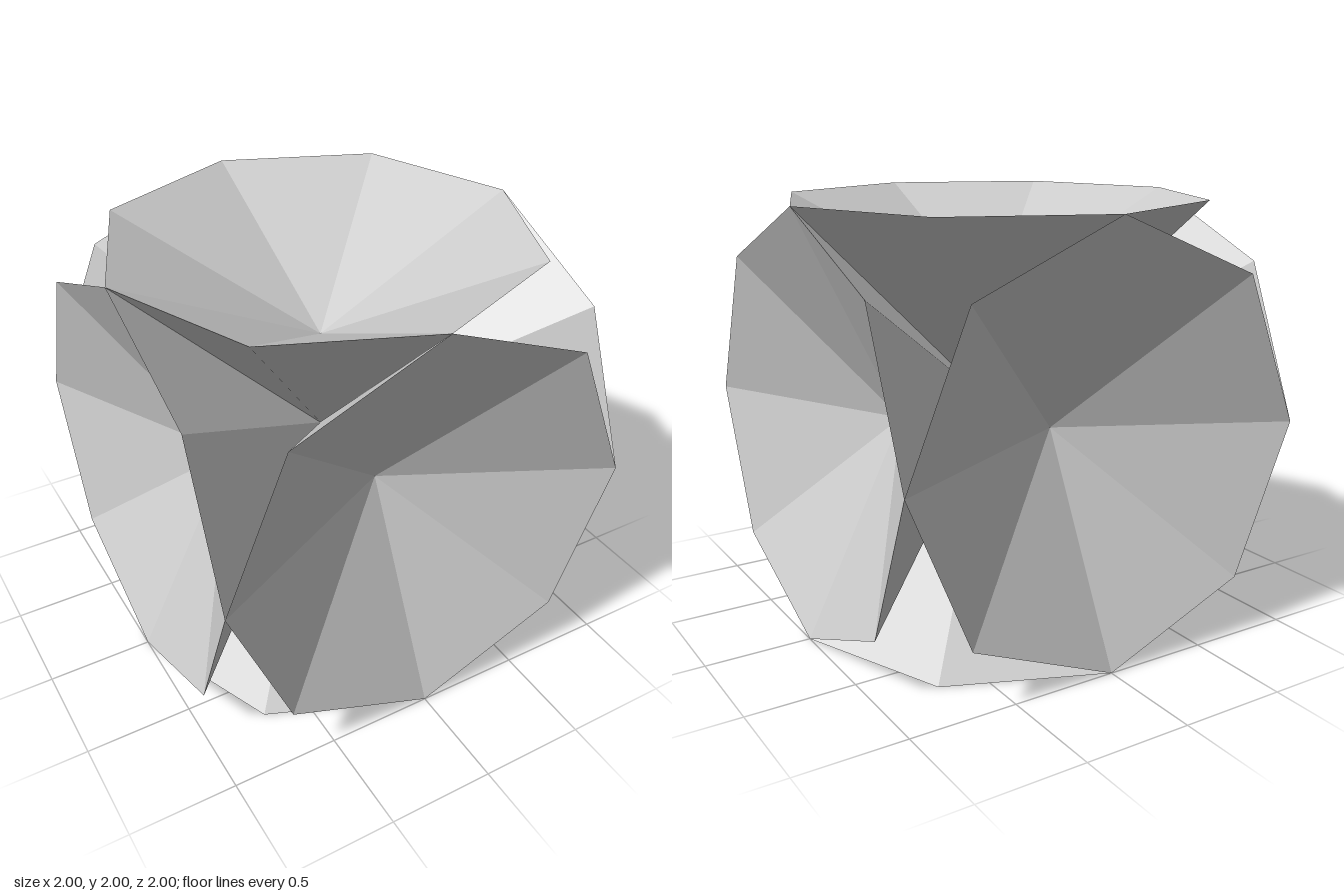
import * as THREE from 'three';

export function createModel() {
  const model = new THREE.Group();
  model.name = 'sixConeStar';
  const material = new THREE.MeshStandardMaterial({ color: 0xcccccc, flatShading: true });

  // Eight-sided cone: tip at the centre, sharp rim, hollowed to half its depth
  const profile = [[0, 0], [1, 1], [0, 0.5]].map(([r, y]) => new THREE.Vector2(r, y));
  const cone = new THREE.LatheGeometry(profile, 8);

  // One cone along each axis direction, all tips meeting in the middle
  const up = new THREE.Vector3(0, 1, 0);
  const directions = {
    topCone: [0, 1, 0], bottomCone: [0, -1, 0],
    leftCone: [1, 0, 0], rightCone: [-1, 0, 0],
    frontCone: [0, 0, 1], backCone: [0, 0, -1],
  };
  for (const [name, dir] of Object.entries(directions)) {
    const mesh = new THREE.Mesh(cone, material);
    mesh.name = name;
    mesh.quaternion.setFromUnitVectors(up, new THREE.Vector3(...dir));
    mesh.position.y = 1;
    model.add(mesh);
  }
  return model;
}
